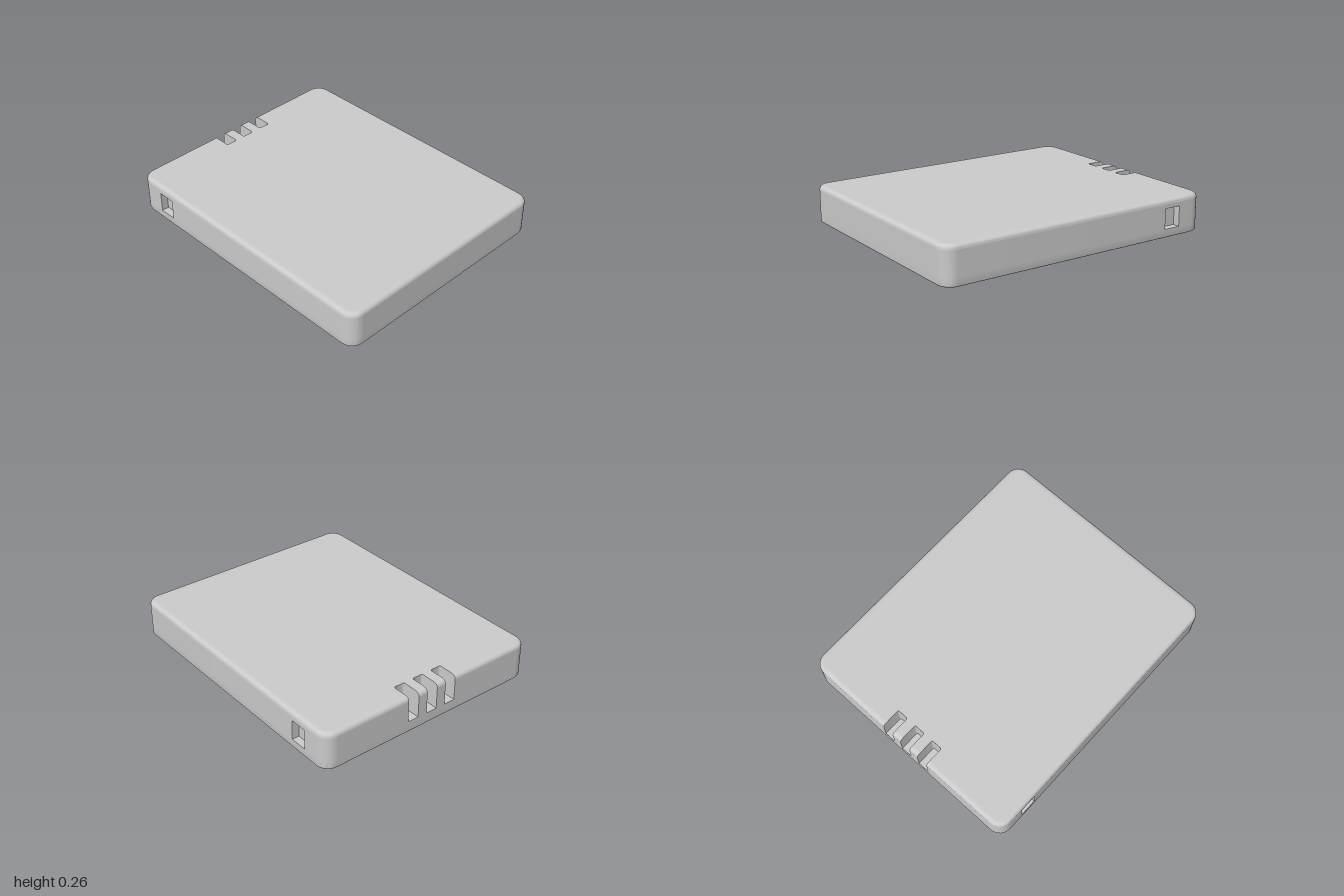
import * as THREE from 'three';
import { toCreasedNormals } from 'three/addons/utils/BufferGeometryUtils.js';

const W = 0.83, L = 1, H = 0.26;         // half width, half length, height
const CORNER = 0.09, TOP_R = 0.03, BASE_R = 0.015;
const SLOT = { xs: [0.15, 0, -0.15], half: 0.04, z: -0.86, r: 0.01, floor: 0.08 };
const POCKET = { z0: -0.8, z1: -0.68, y0: 0.06, y1: 0.2, depth: 0.05 };
const SUPPORT = 0.004;                   // narrow strip keeping flat faces flat

// One horizontal outline [x, z], inset by d; every outline has the same point count
function outline(d, slotted, pocketed) {
  const pts = [];
  const corner = (sx, sz, start) => {
    const r = CORNER - d, cx = sx * (W - CORNER), cz = sz * (L - CORNER);
    const at = (a, along) => pts.push([
      cx + r * Math.cos(a) + along * Math.sin(a),
      cz - r * Math.sin(a) - along * -Math.cos(a) * -1,
    ]);
    at(start, SUPPORT);
    for (let i = 0; i <= 8; i++) at(start + (i / 8) * Math.PI / 2, 0);
    at(start + Math.PI / 2, -SUPPORT);
  };
  const side = (s) => {
    const inX = s * (pocketed ? W - POCKET.depth : W - d), outX = s * (W - d);
    const p = [[outX, POCKET.z0], [inX, POCKET.z0], [inX, POCKET.z1], [outX, POCKET.z1]];
    pts.push(...(s < 0 ? p : p.reverse()));
  };

  // back edge with three notches
  const back = -(L - d);
  for (const x of SLOT.xs) {
    const { half, r, z } = SLOT, notch = [];
    for (let i = 0; i <= 3; i++) {
      const a = (i / 3) * Math.PI / 2;
      notch.push([half - r + r * Math.cos(a), z - r + r * Math.sin(a)]);
    }
    const inner = [...notch, ...notch.map(([u, v]) => [-u, v]).reverse()];
    pts.push([x + half, back]);
    for (const [u, v] of inner) pts.push([x + u, slotted ? v : back]);
    pts.push([x - half, back]);
  }
  corner(-1, -1, Math.PI / 2);
  side(-1);
  corner(-1, 1, Math.PI);
  corner(1, 1, Math.PI * 1.5);
  side(1);
  corner(1, -1, 0);
  return pts;
}

function bodyGeometry() {
  // Levels from base to top: [height, inset, slotted, pocketed]
  const levels = [[0, BASE_R + SUPPORT, false, false]];
  const steps = 5;
  for (let i = 0; i <= steps; i++) {
    const a = (i / steps) * Math.PI / 2;
    levels.push([BASE_R * (1 - Math.cos(a)), BASE_R * (1 - Math.sin(a)), false, false]);
  }
  levels.push(
    [BASE_R + SUPPORT, 0, false, false],
    [POCKET.y0, 0, false, false], [POCKET.y0, 0, false, true],
    [SLOT.floor, 0, false, true], [SLOT.floor, 0, true, true],
    [POCKET.y1, 0, true, true], [POCKET.y1, 0, true, false],
    [H - TOP_R - SUPPORT, 0, true, false],
  );
  for (let i = 0; i <= steps; i++) {
    const a = (i / steps) * Math.PI / 2;
    levels.push([H - TOP_R * (1 - Math.sin(a)), TOP_R * (1 - Math.cos(a)), true, false]);
  }
  levels.push([H, TOP_R + SUPPORT, true, false]);

  const rings = levels.map(([y, d, s, p]) =>
    outline(d, s, p).map(([x, z]) => new THREE.Vector3(x, y, z)));
  const pos = [], tri = new THREE.Triangle();
  const face = (a, b, c) => {
    if (tri.set(a, b, c).getArea() > 1e-9) for (const v of [a, b, c]) pos.push(v.x, v.y, v.z);
  };

  // walls, slot floors and pocket faces
  for (let k = 0; k + 1 < rings.length; k++) {
    const lo = rings[k], hi = rings[k + 1], n = lo.length;
    for (let i = 0; i < n; i++) {
      const j = (i + 1) % n;
      face(lo[i], lo[j], hi[j]);
      face(lo[i], hi[j], hi[i]);
    }
  }
  // flat top and base
  const cap = (ring, up) => {
    const flat = ring.map((v) => new THREE.Vector2(v.x, -v.z));
    for (const [a, b, c] of THREE.ShapeUtils.triangulateShape(flat, [])) {
      if (up) face(ring[a], ring[b], ring[c]);
      else face(ring[a], ring[c], ring[b]);
    }
  };
  cap(rings[rings.length - 1], true);
  cap(rings[0], false);

  const geometry = new THREE.BufferGeometry();
  geometry.setAttribute('position', new THREE.Float32BufferAttribute(pos, 3));
  return toCreasedNormals(geometry, 0.6);
}

export function createModel() {
  const group = new THREE.Group();
  group.name = 'flatBatteryPack';
  const body = new THREE.Mesh(bodyGeometry(), new THREE.MeshStandardMaterial({ color: 0xcccccc }));
  body.name = 'slottedBody';
  group.add(body);
  return group;
}
